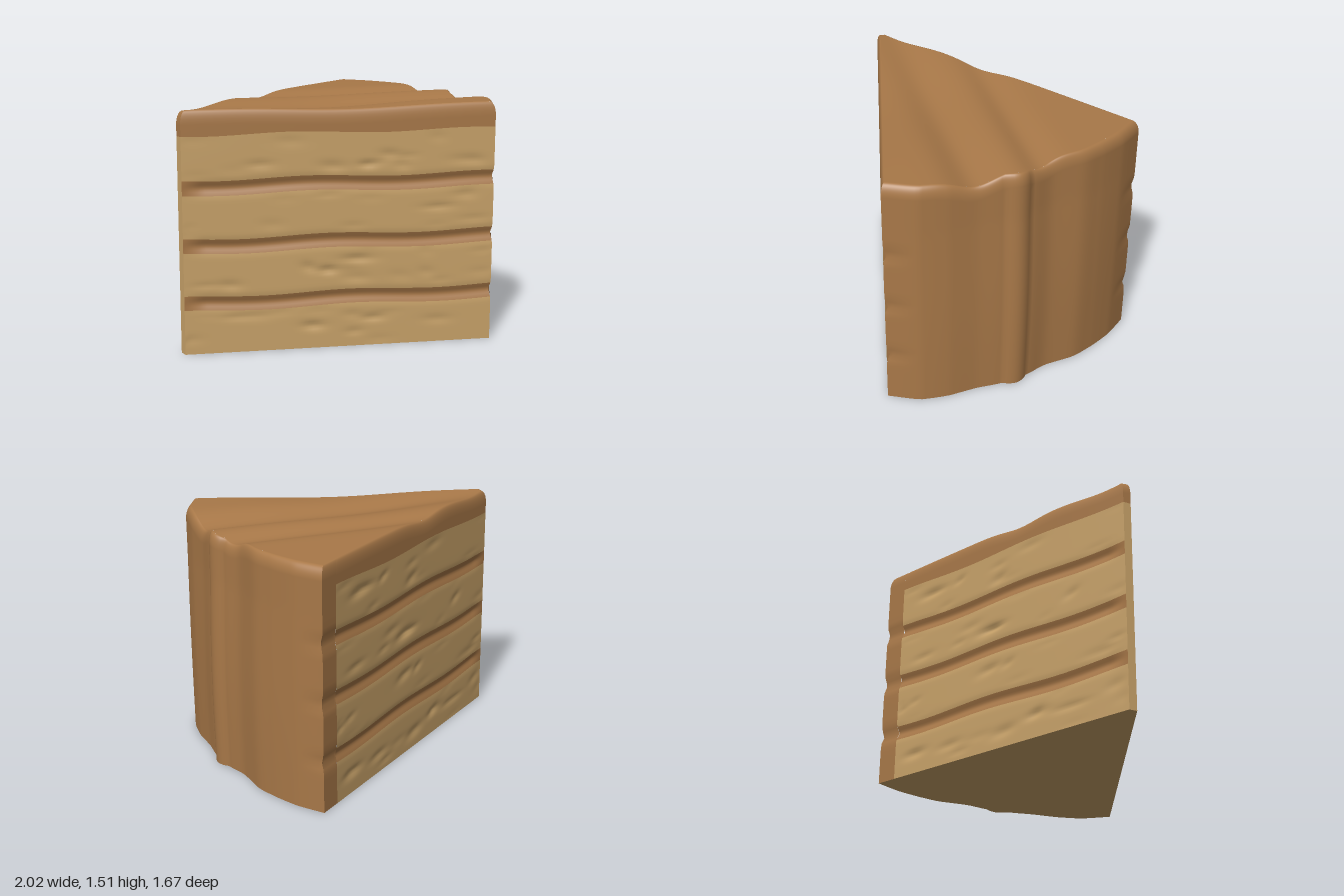
import * as THREE from 'three';

const frosting = new THREE.MeshStandardMaterial({ color: 0xa87848 });
frosting.name = 'caramel frosting';
const sponge = new THREE.MeshStandardMaterial({ color: 0xc8a269 });
sponge.name = 'golden sponge';

const lerp = THREE.MathUtils.lerp;
const gauss = (d, w) => Math.exp(-(d * d) / (w * w));

// Wedge corners [x, z], in the order tip front, rear front, rear back, tip back
const OUTER = [[-1, 0.03], [0.75, 0.83], [0.8, -0.84], [-1, -0.02]];
const INNER = [[-0.96, 0.022], [0.725, 0.795], [0.765, -0.8], [-0.96, -0.012]];

// Wavy rear outline, x for t from 0 to 1
const rearX = [0.75, 0.88, 0.93, 0.95, 0.985, 0.99, 0.965, 0.975, 0.945, 0.89, 0.8];
const rearCurve = new THREE.CatmullRomCurve3(
  rearX.map((x, i) => new THREE.Vector3(x - lerp(0.75, 0.8, i / 10), 0, 0)));

// Plan position: s runs from tip to rear, t from front side to back side, k insets the rim
function plan(s, t, k = 0) {
  const c = OUTER.map((o, i) => [lerp(o[0], INNER[i][0], k), lerp(o[1], INNER[i][1], k)]);
  const at = (j) => lerp(lerp(c[0][j], c[1][j], s), lerp(c[3][j], c[2][j], s), t);
  const bulge = rearCurve.getPoint(t).x * s * s * (1 - 0.1 * k);
  return [at(0) + bulge, at(1)];
}

// Top surface with soft diagonal swells
function topHeight(s, t) {
  const [x, z] = plan(s, t);
  const q = z - 0.22 * x, grow = 0.35 + 0.65 * s;
  return 1.512 - grow * (0.065 * gauss(q - 0.13, 0.15) + 0.045 * gauss(q + 0.3, 0.11))
    - 0.028 * (1 - t) * gauss(x + 0.1, 0.5) - 0.018 * t * s * s;
}

// Gently waving height of a layer boundary
const wave = (y, s) => y === 0 ? 0 : y + 0.009 * Math.sin(s * 11 + y * 2 + 1.3);

// Point on the outer skin, with shallow grooves where filling meets a cut face
function skin(s, t, y, push = 0) {
  const [x, z] = plan(s, t);
  let groove = 0;
  for (const c of [0.317, 0.677, 1.037]) groove += 0.02 * gauss(y - wave(c, s), 0.035);
  groove *= Math.min(1, s * 15);
  const offset = (push - groove) * (Math.max(0, 1 - t * 12) - Math.max(0, 1 - (1 - t) * 12));
  const taper = s * s * (0.012 * (1 - Math.sin(Math.min(1, y / 1.2) * Math.PI)) + 0.012 * y / 1.4)
    * Math.sin(t * Math.PI);
  return [x - taper, y, z + offset];
}

// Side profile from height y0 to the rounded rim
function rimPoint(s, t, y0, v) {
  const h = topHeight(s, t), split = 0.6, bend = 0.08;
  if (v <= split) return skin(s, t, lerp(y0, h - bend, v / split));
  const a = (v - split) / (1 - split) * Math.PI / 2;
  const [x, z] = plan(s, t, 1 - Math.cos(a));
  const low = skin(s, t, h - bend), p = plan(s, t);
  const keep = Math.cos(a);
  return [x + (low[0] - p[0]) * keep, h - bend + bend * Math.sin(a), z + (low[2] - p[1]) * keep];
}

// Grid surface from a rule; it faces along du x dv
function panel(name, material, nu, nv, rule) {
  const pos = [], index = [];
  for (let j = 0; j <= nv; j++) for (let i = 0; i <= nu; i++) pos.push(...rule(i / nu, j / nv));
  for (let j = 0; j < nv; j++) for (let i = 0; i < nu; i++) {
    const a = j * (nu + 1) + i, b = a + 1, c = a + nu + 1, d = c + 1;
    index.push(a, b, d, a, d, c);
  }
  const g = new THREE.BufferGeometry();
  g.setAttribute('position', new THREE.Float32BufferAttribute(pos, 3));
  g.setIndex(index);
  g.computeVertexNormals();
  const mesh = new THREE.Mesh(g, material);
  mesh.name = name;
  return mesh;
}

function seeded(seed) {
  return () => (seed = (seed * 16807) % 2147483647) / 2147483647;
}

// Cut face: alternating sponge and filling, crumb dents in the sponge
function cutFace(name, t, sEnd, seed) {
  const group = new THREE.Group();
  group.name = name;
  const rand = seeded(seed);
  const levels = [0, 0.27, 0.36, 0.63, 0.72, 0.99, 1.08, 1.35];
  const along = (u, end) => (t === 0 ? u : 1 - u) * end;
  for (let b = 0; b < 7; b++) {
    const lo = levels[b], hi = levels[b + 1], isSponge = b % 2 === 0;
    const dents = [];
    for (let i = 0; isSponge && i < 14; i++) {
      dents.push([rand(), lerp(lo, hi, rand()), 0.02 + 0.035 * rand(), 0.014 + 0.022 * rand(),
        -0.004 - 0.012 * rand()]);
    }
    group.add(panel(isSponge ? 'spongeLayer' : 'fillingLayer', isSponge ? sponge : frosting,
      80, isSponge ? 16 : 8, (u, v) => {
        const s = along(u, sEnd), y = lerp(wave(lo, s), wave(hi, s), v);
        let push = 0;
        for (const [ds, dy, ws, wy, depth] of dents) {
          push += depth * gauss(s - ds + (y - dy) * 0.4, ws) * gauss(y - dy, wy);
        }
        return skin(s, t, y, push * Math.sin(v * Math.PI) * Math.sin(u * Math.PI) ** 0.3);
      }));
  }
  group.add(panel('topFrostingEdge', frosting, 80, 16,
    (u, v) => { const s = along(u, sEnd); return rimPoint(s, t, wave(1.35, s), v); }));
  return group;
}

export function createModel() {
  const cake = new THREE.Group();
  cake.name = 'cakeSlice';
  const strip = 0.93;

  cake.add(cutFace('frontCutFace', 0, 1, 71));
  cake.add(cutFace('backCutFace', 1, strip, 1234));

  // Rear frosting, its edge on the back cut face, and the narrow tip
  cake.add(panel('rearFrosting', frosting, 80, 60, (u, v) => rimPoint(1, u, 0, v)));
  cake.add(panel('rearFrostingEdge', frosting, 8, 60,
    (u, v) => rimPoint(lerp(1, strip, u), 1, 0, v)));
  const tipSplit = 1.35;
  cake.add(panel('tipSponge', sponge, 2, 8, (u, v) => skin(0, 1 - u, v * wave(tipSplit, 0))));
  cake.add(panel('tipFrosting', frosting, 2, 16,
    (u, v) => rimPoint(0, 1 - u, wave(tipSplit, 0), v)));

  // Swelling top and flat underside
  cake.add(panel('topFrosting', frosting, 60, 60, (s, t) => {
    const [x, z] = plan(s, t, 1);
    return [x, topHeight(s, t), z];
  }));
  cake.add(panel('underside', sponge, 40, 40, (t, s) => skin(s, t, 0)));
  return cake;
}
